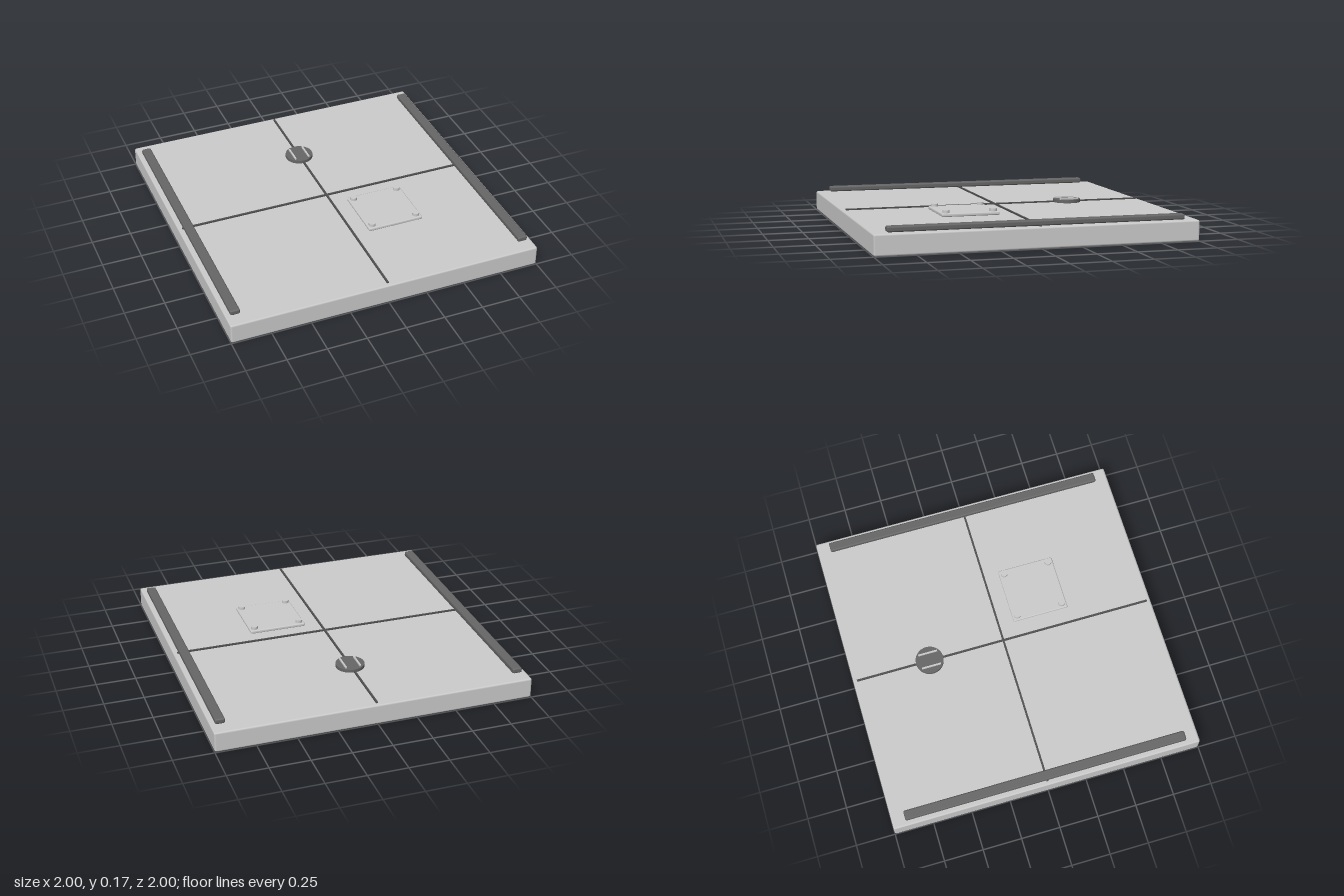
import * as THREE from 'three';
import { RoundedBoxGeometry } from 'three/addons/geometries/RoundedBoxGeometry.js';

const grey = new THREE.MeshStandardMaterial({ color: 0xcccccc });
const dark = new THREE.MeshStandardMaterial({ color: 0x666666 });
const seamDark = new THREE.MeshStandardMaterial({ color: 0x505050 });

const TOP = 0.13; // upper face of the slab

export function createModel() {
  const group = new THREE.Group();

  const add = (name, geometry, material, x, y, z) => {
    const mesh = new THREE.Mesh(geometry, material);
    mesh.name = name;
    mesh.position.set(x, y, z);
    group.add(mesh);
    return mesh;
  };
  // Box with softened edges, placed by the height of its underside
  const block = (name, w, h, d, r, material, x, y, z) =>
    add(name, new RoundedBoxGeometry(w, h, d, 1, r), material, x, y + h / 2, z);

  // Floor slab
  block('slab', 2, TOP, 2, 0.012, grey, 0, 0, 0);

  // Crossed panel seams
  add('seamLengthwise', new THREE.BoxGeometry(0.012, 0.01, 1.95), seamDark, 0, TOP + 0.004, 0);
  add('seamCrosswise', new THREE.BoxGeometry(1.95, 0.01, 0.012), seamDark, 0, TOP + 0.004, 0);

  // Side rails
  for (const side of [-1, 1]) {
    block(side > 0 ? 'leftRail' : 'rightRail', 0.062, 0.034, 1.83, 0.01, dark, side * 0.94, TOP + 0.002, 0);
  }

  // Access hatch with a bolt at each corner
  const hatch = 0.283;
  block('hatchPlate', 0.366, 0.022, 0.366, 0.008, grey, hatch, TOP, hatch);
  for (const sx of [-1, 1]) {
    for (const sz of [-1, 1]) {
      add('hatchBolt', new THREE.CylinderGeometry(0.022, 0.022, 0.022, 16), grey,
        hatch + sx * 0.15, TOP + 0.029, hatch + sz * 0.15);
    }
  }

  // Round drain cover with two thin ribs
  add('drainCover', new THREE.CylinderGeometry(0.09, 0.09, 0.02, 32), dark, 0, TOP + 0.01, -0.493);
  for (const side of [-1, 1]) {
    add('drainRib', new THREE.BoxGeometry(0.01, 0.014, 0.125), grey, side * 0.046, TOP + 0.023, -0.493);
  }

  return group;
}
